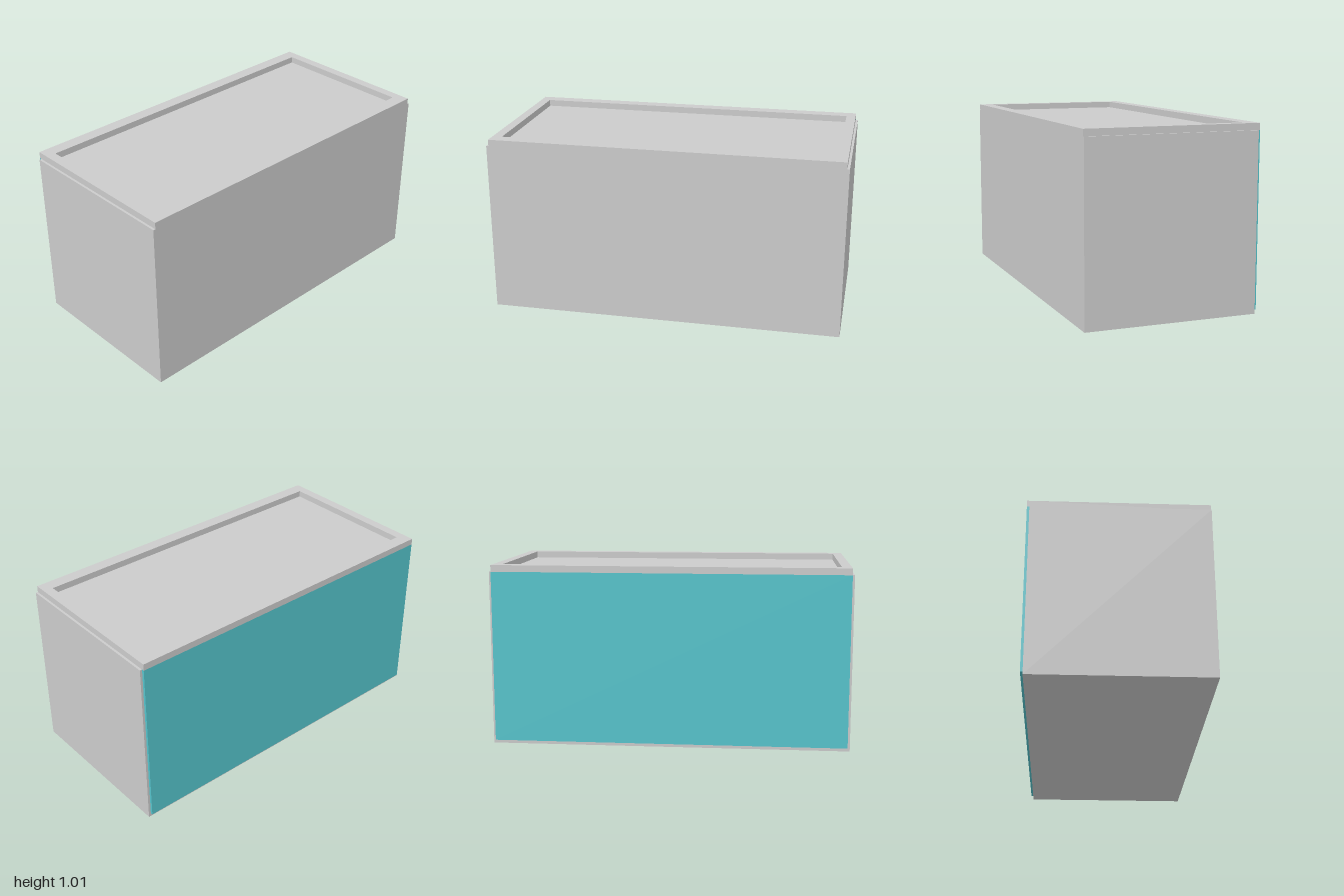
import * as THREE from 'three';

export function createModel() {
  const group = new THREE.Group();
  const grey = new THREE.MeshStandardMaterial({ color: 0xcccccc });
  const teal = new THREE.MeshStandardMaterial({ color: 0x55c4cc });

  const TOP = 0.976, HEIGHT = 1.013; // roof deck and rim top
  const HX = 0.987, HZ = 0.488;      // rim half sizes
  const BACK = -0.474;               // rear wall of the body

  // Box given by its minimum and maximum corners
  function block(name, min, max, material) {
    const size = max.map((v, i) => v - min[i]);
    const mesh = new THREE.Mesh(new THREE.BoxGeometry(...size), material);
    mesh.position.set(...max.map((v, i) => (v + min[i]) / 2));
    mesh.name = name;
    group.add(mesh);
  }

  // Main body, with its top forming the recessed roof
  block('body', [-1, 0, BACK], [1, TOP, HZ], grey);

  // Thin panel covering the back
  block('backPanel', [-HX, 0.02, -HZ], [HX, TOP, BACK], teal);

  // Raised rim around the roof
  const rectangle = (Type, x, z) => new Type([[-x, -z], [x, -z], [x, z], [-x, z]]
    .map(([a, b]) => new THREE.Vector2(a, b)));
  const outline = rectangle(THREE.Shape, HX, HZ);
  outline.holes.push(rectangle(THREE.Path, 0.933, 0.415));
  const rimGeometry = new THREE.ExtrudeGeometry(outline, { depth: HEIGHT - TOP, bevelEnabled: false });
  rimGeometry.rotateX(-Math.PI / 2);
  const rim = new THREE.Mesh(rimGeometry, grey);
  rim.position.y = TOP;
  rim.name = 'roofRim';
  group.add(rim);

  return group;
}
